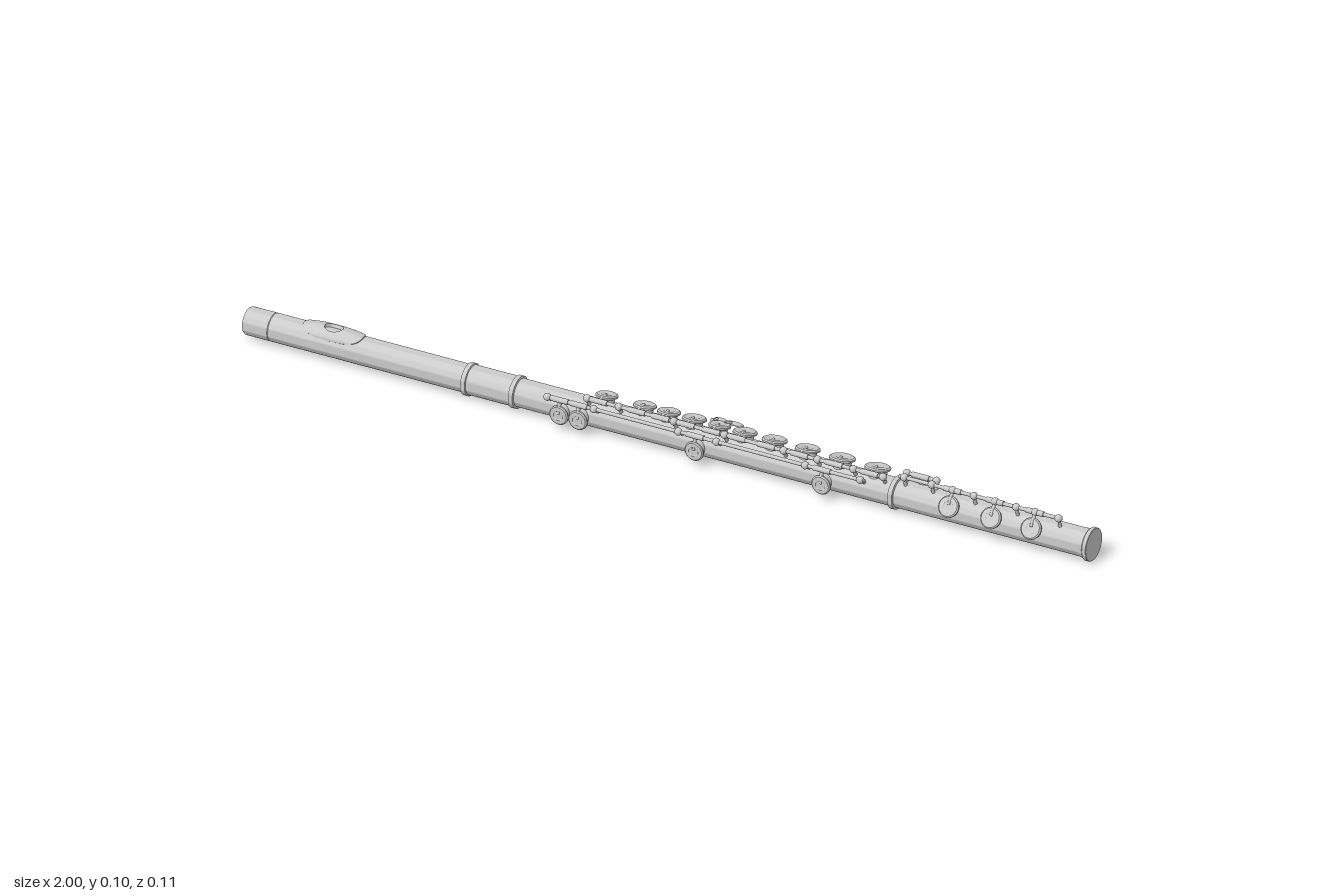
import * as THREE from 'three';
import { toCreasedNormals } from 'three/addons/utils/BufferGeometryUtils.js';

const CY = 0.0365, CZ = 0.005, R = 0.0307; // tube axis height, depth and radius
const mat = new THREE.MeshStandardMaterial({ color: 0xcccccc });
const matTwoSided = new THREE.MeshStandardMaterial({ color: 0xcccccc, side: THREE.DoubleSide });

// Point at station x, angle a (0 = up, positive = towards the front), distance r from the axis
const polar = (x, a, r) => new THREE.Vector3(x, CY + r * Math.cos(a), CZ + r * Math.sin(a));

function add(parent, name, geometry, material = mat) {
  const mesh = new THREE.Mesh(geometry, material);
  mesh.name = name;
  parent.add(mesh);
  return mesh;
}

function lathe(points, segments) {
  const pts = points.map(([r, y]) => new THREE.Vector2(r, y));
  return toCreasedNormals(new THREE.LatheGeometry(pts, segments), 0.6);
}

// Round bar between two points
function bar(parent, name, a, b, r, r2 = r) {
  const dir = b.clone().sub(a);
  const mesh = add(parent, name, new THREE.CylinderGeometry(r2, r, dir.length(), 10));
  mesh.position.copy(a).addScaledVector(dir, 0.5);
  mesh.quaternion.setFromUnitVectors(new THREE.Vector3(0, 1, 0), dir.normalize());
  return mesh;
}

function ball(parent, name, p, r) {
  const mesh = add(parent, name, new THREE.SphereGeometry(r, 14, 10));
  mesh.position.copy(p);
  return mesh;
}

// Padded key cup on its tone hole chimney, facing outwards at angle a
function cup(parent, name, x, a, r, dist) {
  const g = new THREE.Group();
  g.name = name;
  g.position.set(x, CY, CZ);
  g.rotation.x = a;
  const chimney = add(g, 'toneHole', new THREE.CylinderGeometry(r * 0.75, r * 0.75, dist - 0.022, 20));
  chimney.position.y = (dist + 0.022) / 2;
  const lid = add(g, 'cupLid', lathe([[0, 0], [r * 0.9, 0], [r, 0.0015], [r, 0.005],
    [r * 0.88, 0.0075], [r * 0.5, 0.0078], [r * 0.42, 0.0065], [0, 0.0065]], 24));
  lid.position.y = dist;
  parent.add(g);
}

// Hinge rod carried by ball-topped posts
function rod(parent, name, x0, x1, a, r, posts) {
  bar(parent, name, polar(x0, a, r), polar(x1, a, r), 0.0042);
  for (const x of posts) {
    bar(parent, name + 'Post', polar(x, a, R - 0.002), polar(x, a, r), 0.0042, 0.003);
    ball(parent, name + 'PostBall', polar(x, a, r), 0.0085);
  }
}

// Arm from a hinge tube on a rod to a cup
function arm(parent, x, rodA, rodR, cupA, cupR) {
  bar(parent, 'hingeTube', polar(x - 0.02, rodA, rodR), polar(x + 0.02, rodA, rodR), 0.0062);
  bar(parent, 'keyArm', polar(x, rodA, rodR), polar(x, cupA, cupR), 0.0045, 0.003);
}

// Curved lip plate around the blow hole, built from loops running hole -> rim
function lipPlate() {
  const n = 56;
  // [blend from hole to rim, distance from the axis]
  const loops = [[0, 0.029], [0, 0.0385], [0.15, 0.0388], [0.35, 0.0383], [0.55, 0.0372],
    [0.75, 0.0358], [0.92, 0.0345], [1, 0.033], [1, 0.029]];
  const pos = [], index = [];
  loops.forEach(([t, r], j) => {
    for (let i = 0; i < n; i++) {
      const u = (i / n) * Math.PI * 2, c = Math.cos(u), s = Math.sin(u);
      const rim = 1 / Math.pow(Math.abs(c) ** 3 + Math.abs(s) ** 3, 1 / 3);
      const x = THREE.MathUtils.lerp(0.021 * c, 0.07 * rim * c, t);
      const a = THREE.MathUtils.lerp(0.42 * s, 0.98 * rim * s, t);
      const p = polar(-0.797 + x, a, r);
      pos.push(p.x, p.y, p.z);
      if (j === 0) continue;
      const k = (i + 1) % n, p0 = (j - 1) * n, p1 = j * n;
      index.push(p0 + i, p0 + k, p1 + i, p0 + k, p1 + k, p1 + i);
    }
  });
  const g = new THREE.BufferGeometry();
  g.setAttribute('position', new THREE.Float32BufferAttribute(pos, 3));
  g.setIndex(index);
  g.computeVertexNormals();
  return toCreasedNormals(g, 0.7);
}

export function createModel() {
  const flute = new THREE.Group();
  flute.name = 'flute';

  // Tube with crown, barrel sleeve, joint rings and foot flange
  const ring = (x, r, before, after) => [[before, x - 0.006], [r, x - 0.005], [r, x + 0.005], [after, x + 0.006]];
  const body = add(flute, 'tube', lathe([
    [0, -1], [0.028, -1], [R, -0.996], [R, -0.94], [0.03, -0.939], [R, -0.938],
    ...ring(-0.475, 0.0355, R, 0.0325),
    ...ring(-0.362, 0.0355, 0.0325, R),
    ...ring(0.535, 0.0355, R, R),
    [R, 0.975], [0.033, 0.988], [0.0365, 0.991], [0.0365, 0.999], [0.0355, 1], [0, 1],
  ], 48));
  body.rotation.z = -Math.PI / 2;
  body.position.set(0, CY, CZ);

  add(flute, 'lipPlate', lipPlate(), matTwoSided);

  // Main stack of cups along the top
  const MAIN_A = 0.52, MAIN_R = 0.051, TOP_A = -0.22;
  rod(flute, 'mainRod', -0.19, 0.52, MAIN_A, MAIN_R, [-0.185, -0.11, 0.02, 0.14, 0.28, 0.36, 0.445, 0.515]);
  const stack = [[-0.157, 0.024], [-0.067, 0.025], [-0.01, 0.025], [0.05, 0.026], [0.11, 0.024],
    [0.17, 0.026], [0.24, 0.027], [0.318, 0.027], [0.4, 0.028], [0.484, 0.028]];
  for (const [x, r] of stack) {
    cup(flute, 'topKeyCup', x, TOP_A, r, 0.039);
    arm(flute, x, MAIN_A, MAIN_R, TOP_A + 0.1, 0.0465);
  }

  // Side rod with upright cups on the front
  const SIDE_A = 0.9, SIDE_R = 0.0535;
  rod(flute, 'sideRod', -0.275, 0.48, SIDE_A, SIDE_R, [-0.27, -0.16, 0.04, 0.13, 0.34, 0.47]);
  for (const x of [-0.24, -0.195, 0.08, 0.38]) {
    cup(flute, 'sideKeyCup', x, Math.PI / 2, 0.022, 0.043);
    arm(flute, x, SIDE_A, SIDE_R, 1.5, 0.05);
  }

  // Foot joint rod and its three leaning cups
  const FOOT_A = 0.3, FOOT_R = 0.053;
  rod(flute, 'footRod', 0.548, 0.93, FOOT_A, FOOT_R, [0.56, 0.625, 0.725, 0.825, 0.925]);
  for (const x of [0.675, 0.775, 0.87]) {
    cup(flute, 'footKeyCup', x, 1.03, 0.0235, 0.036);
    arm(flute, x, FOOT_A, FOOT_R, 0.95, 0.043);
    ball(flute, 'footKeyKnob', polar(x, FOOT_A, FOOT_R), 0.0085);
  }

  // Short rod with a cup on the back of the foot joint
  rod(flute, 'backRod', 0.55, 0.63, -0.1, 0.05, [0.555, 0.625]);
  cup(flute, 'backKeyCup', 0.588, -0.87, 0.025, 0.037);
  arm(flute, 0.588, -0.1, 0.05, -0.8, 0.044);

  // Finger levers reaching over the back
  for (const [x, len] of [[0.085, 0.016], [0.118, 0.022]]) {
    bar(flute, 'leverArm', polar(x, -0.45, 0.047), polar(x, -1.0, 0.058), 0.004, 0.003);
    const touch = ball(flute, 'leverTouch', polar(x + 0.005, -1.05, 0.058), 1);
    touch.scale.set(len, 0.005, 0.01);
    touch.rotation.x = -0.5;
  }

  return flute;
}
